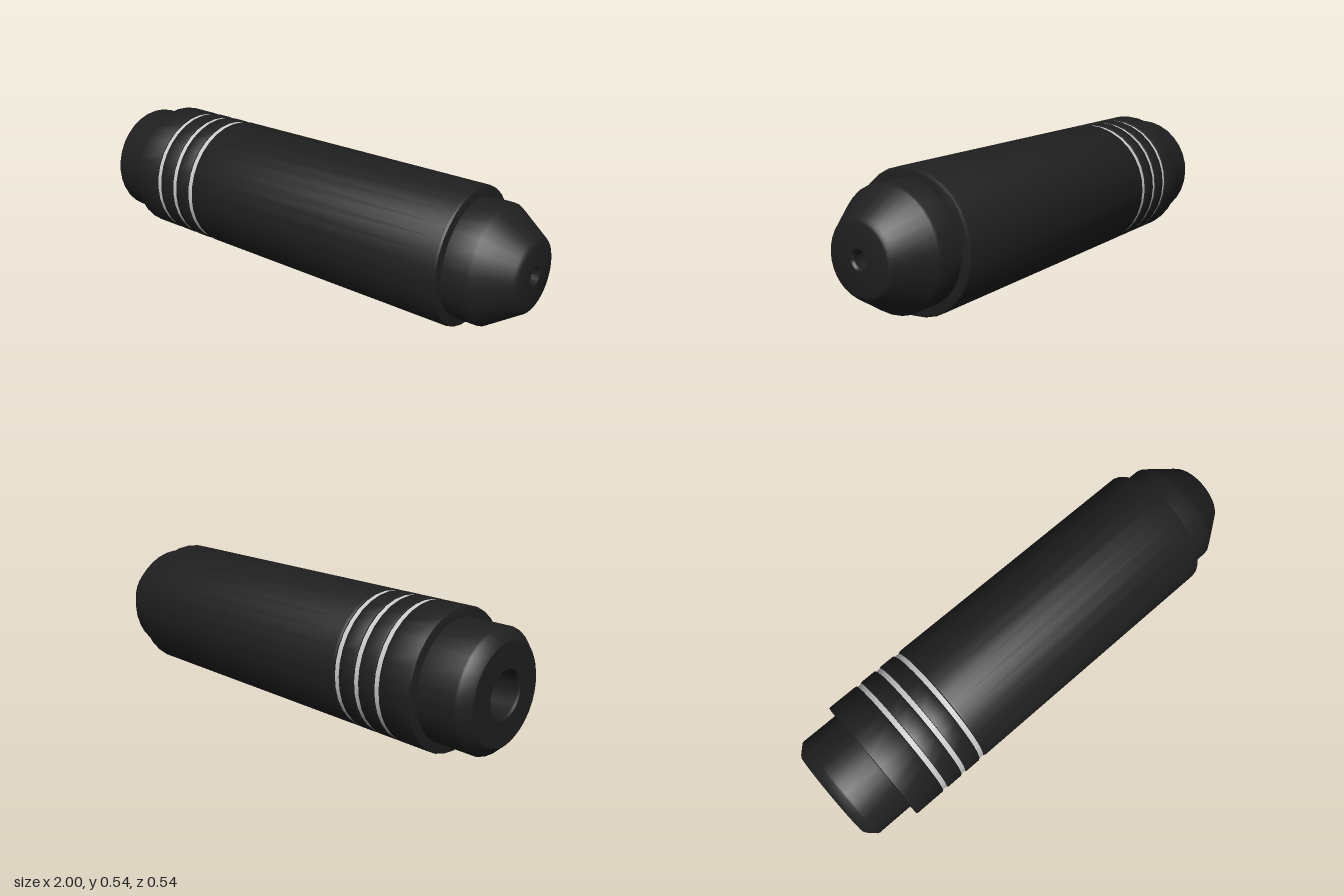
import * as THREE from 'three';
import { toCreasedNormals } from 'three/addons/utils/BufferGeometryUtils.js';

const R = 0.272; // main body radius, also the height of the axis

const black = new THREE.MeshStandardMaterial({ color: 0x1f1f1f });
const grey = new THREE.MeshStandardMaterial({ color: 0xcccccc });

// Turned part along x from [x, radius] pairs, listed from -x to +x
function turned(name, profile, material) {
  const points = profile.map(([x, r]) => new THREE.Vector2(r, x));
  const geometry = new THREE.LatheGeometry(points, 32);
  geometry.rotateZ(-Math.PI / 2);
  const mesh = new THREE.Mesh(toCreasedNormals(geometry, 0.5), material);
  mesh.name = name;
  return mesh;
}

// Closed cylinder section with small bevels on both rims
function sleeve(name, x0, x1, r, bevel) {
  return turned(name, [
    [x0, 0.2], [x0, r - bevel], [x0 + bevel * 0.3, r - bevel * 0.3], [x0 + bevel, r],
    [x1 - bevel, r], [x1 - bevel * 0.3, r - bevel * 0.3], [x1, r - bevel], [x1, 0.2],
  ], black);
}

export function createModel() {
  const group = new THREE.Group();
  group.name = 'cylinder';

  // Body sections separated by narrow bright bands
  const bands = [-0.652, -0.557, -0.463];
  const half = 0.01;
  const edges = [-0.8, ...bands.flatMap((x) => [x - half, x + half]), 0.755];
  for (let i = 0; i < edges.length; i += 2) {
    const bevel = i === edges.length - 2 ? 0.012 : 0.006;
    group.add(sleeve('bodySection' + (i / 2 + 1), edges[i], edges[i + 1], R, bevel));
  }
  bands.forEach((x, i) => {
    group.add(turned('band' + (i + 1), [[x - half, R - 0.005], [x + half, R - 0.005]], grey));
  });

  // Rear cap with chamfered rim and a round socket
  group.add(turned('rearCap', [
    [-0.85, 0], [-0.85, 0.085], [-0.993, 0.085], [-1, 0.092],
    [-1, 0.19], [-0.993, 0.2], [-0.962, 0.23], [-0.955, 0.233], [-0.79, 0.233],
  ], black));

  // Stepped collar and tapered nose with a small central hole
  group.add(turned('nose', [
    [0.74, 0.233], [0.855, 0.233], [0.863, 0.229], [0.985, 0.147], [0.995, 0.138], [1, 0.128],
    [1, 0.038], [0.992, 0.03], [0.95, 0.03], [0.95, 0],
  ], black));

  group.position.y = R;
  const model = new THREE.Group();
  model.add(group);
  return model;
}
